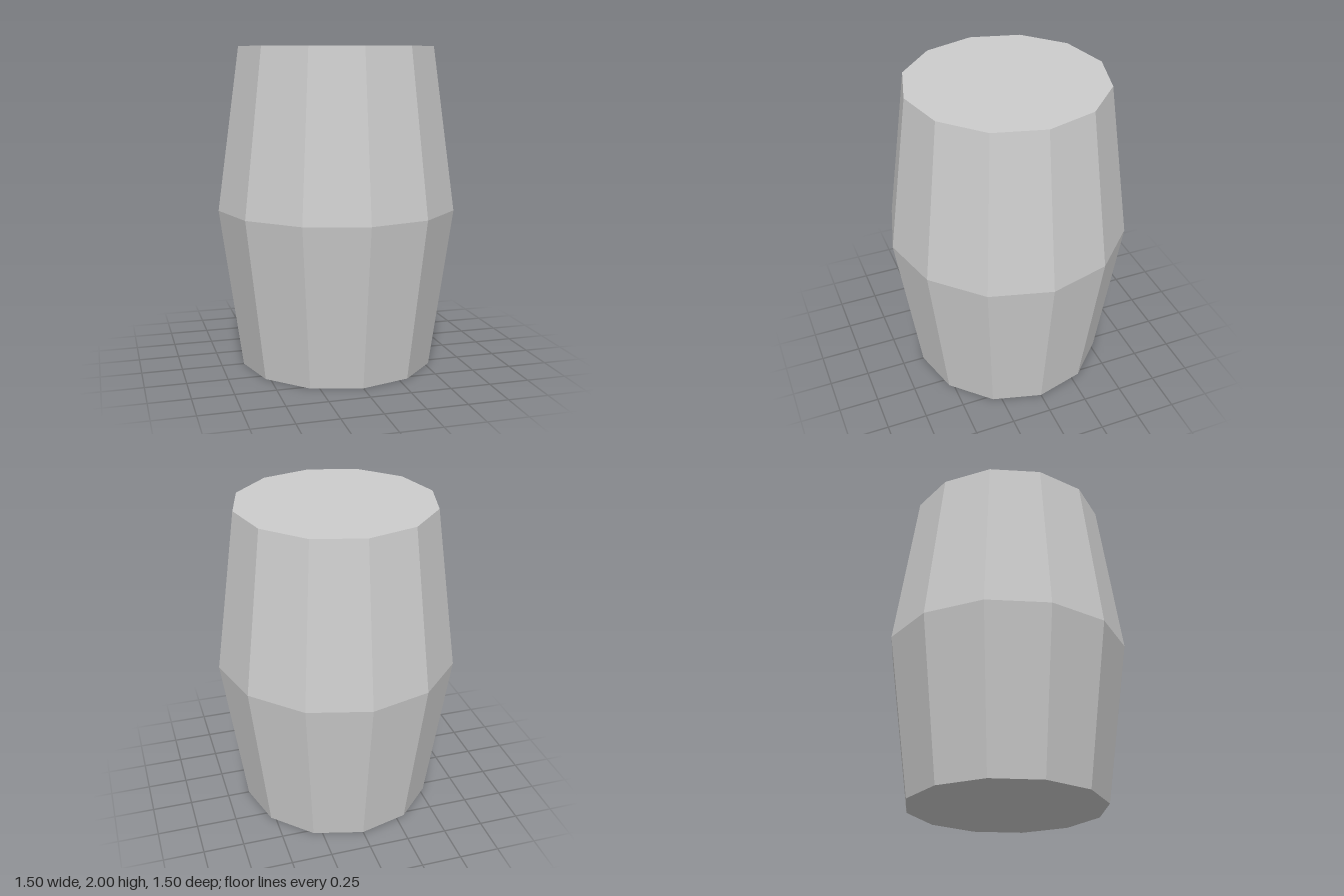
import * as THREE from 'three';

const SIDES = 12, HEIGHT = 2, END_RADIUS = 0.61, BELLY_RADIUS = 0.75;

export function createModel() {
  const group = new THREE.Group();
  group.name = 'barrel';

  const grey = new THREE.MeshStandardMaterial({ color: 0xcccccc, flatShading: true });
  grey.name = 'light grey';

  // Capped twelve-sided body with the middle ring pushed out into a belly
  const geometry = new THREE.CylinderGeometry(END_RADIUS, END_RADIUS, HEIGHT, SIDES, 2);
  const position = geometry.attributes.position;
  const bulge = BELLY_RADIUS / END_RADIUS;
  for (let i = 0; i < position.count; i++) {
    if (Math.abs(position.getY(i)) < 0.01) {
      position.setX(i, position.getX(i) * bulge);
      position.setZ(i, position.getZ(i) * bulge);
    }
  }
  geometry.translate(0, HEIGHT / 2, 0);

  // Separate the faces so every facet has its own flat normal
  const faceted = geometry.toNonIndexed();
  faceted.computeVertexNormals();

  const body = new THREE.Mesh(faceted, grey);
  body.name = 'barrelBody';
  group.add(body);
  return group;
}
